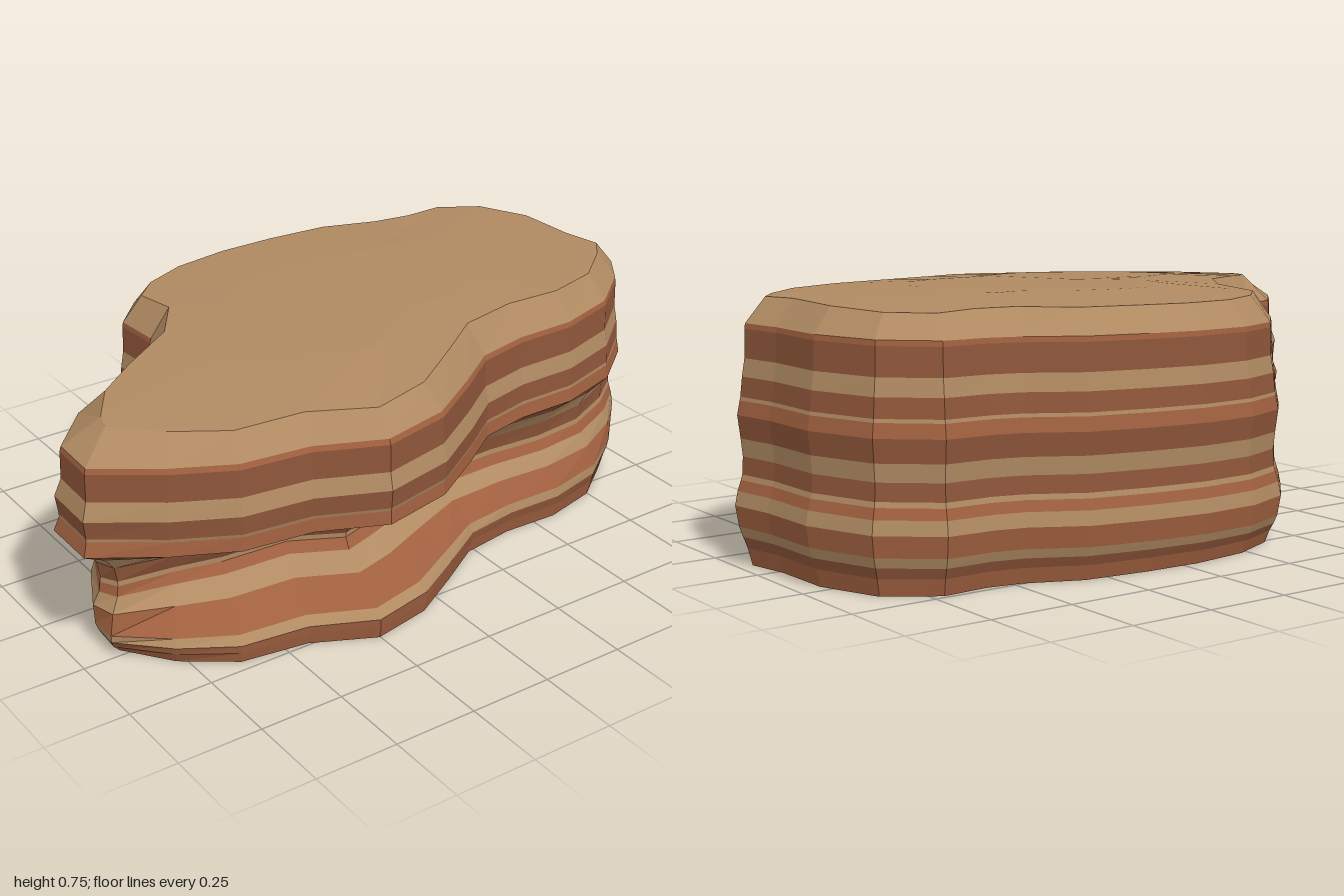
import * as THREE from 'three';

const mat = (name, color) => {
  const m = new THREE.MeshStandardMaterial({ color, flatShading: true });
  m.name = name;
  return m;
};

// Plan outline, counter-clockwise seen from above: x, z, strength of the undercut
const OUTLINE = [
  [-1, 0.13, 0.38], [-1, 0.30, 0.55], [-0.82, 0.43, 0.8], [-0.65, 0.52, 0.95], [-0.45, 0.55, 1],
  [-0.26, 0.64, 1], [-0.05, 0.60, 1], [0.12, 0.50, 0.85], [0.25, 0.415, 0.65], [0.40, 0.39, 0.5],
  [0.58, 0.395, 0.45], [0.77, 0.345, 0.33], [0.92, 0.23, 0.15], [1, 0.12, 0], [0.975, -0.02, 0],
  [0.97, -0.22, 0], [0.89, -0.42, 0], [0.73, -0.53, 0], [0.58, -0.525, 0], [0.49, -0.54, 0],
  [0.33, -0.61, 0], [0.13, -0.635, 0], [-0.05, -0.643, 0], [-0.24, -0.62, 0], [-0.40, -0.55, 0],
  [-0.51, -0.43, 0], [-0.50, -0.28, 0], [-0.56, -0.20, 0], [-0.72, -0.10, 0.05], [-0.87, -0.02, 0.18],
];

// Outward direction at every outline point
const N = OUTLINE.length;
const OUTWARD = OUTLINE.map((_, i) => {
  const a = OUTLINE[(i + N - 1) % N], b = OUTLINE[(i + 1) % N];
  return new THREE.Vector2(a[1] - b[1], b[0] - a[0]).normalize();
});

// Strata: height, inset all round, extra inset in the undercut,
// extra inset at the narrow right end, colour above this level
const LEVELS = [
  [0.00, 0.045, 0.015, 0.090, 'rust'],
  [0.04, 0.032, 0.020, 0.070, 'brown'],
  [0.065, 0.020, 0.035, 0.065, 'tan'],
  [0.09, 0.010, 0.07, 0.055, 'rust'],
  [0.15, 0.000, 0.18, 0.020, 'tan'],
  [0.19, 0.008, 0.235, 0.010, 'rust'],
  [0.22, 0.018, 0.245, 0.000, 'tan'],
  [0.235, 0.022, 0.24, 0.000, 'brown'],
  [0.285, 0.025, 0.21, 0.000, 'tan'],
  [0.335, 0.020, 0.14, 0.000, 'brown'],
  [0.40, 0.012, -0.01, -0.010, 'rust'],
  [0.44, 0.020, -0.015, 0.000, 'tan'],
  [0.45, 0.022, -0.02, 0.000, 'brown'],
  [0.505, 0.028, -0.03, -0.010, 'tan'],
  [0.555, 0.036, -0.025, 0.000, 'brown'],
  [0.635, 0.038, -0.025, 0.000, 'rust'],
  [0.65, 0.040, -0.02, 0.000, 'tan'],
  [0.75, 0.098, -0.02, 0.050, 'tan'],
];

// Beds dip gently and the top is slightly domed
function heightAt(y, x, z) {
  const dip = 0.022 * x * Math.min(1, y / 0.08);
  const dome = y > 0.7 ? 0.033 * x * x + 0.1 * z * z : 0;
  return y + dip - dome;
}

// One cross-section loop
function ring([y, inset, cut, taper]) {
  return OUTLINE.map(([x, z, w], i) => {
    const end = THREE.MathUtils.clamp((-x - 0.75) / 0.25, 0, 1);
    const d = inset + cut * w + taper * end;
    const px = x - OUTWARD[i].x * d, pz = z - OUTWARD[i].y * d;
    return new THREE.Vector3(px, heightAt(y, px, pz), pz);
  });
}

function mesh(name, points, material) {
  const g = new THREE.BufferGeometry().setFromPoints(points);
  g.computeVertexNormals();
  const m = new THREE.Mesh(g, material);
  m.name = name;
  return m;
}

// Strip of quads joining a loop to the next one up or inward
function band(lo, hi) {
  return lo.flatMap((a, i) => {
    const j = (i + 1) % N;
    return [a, lo[j], hi[j], a, hi[j], hi[i]];
  });
}

// Fan closing a loop towards a centre point
function fan(loop, centre) {
  return loop.flatMap((p, i) => [p, loop[(i + 1) % N], centre]);
}

export function createModel() {
  const group = new THREE.Group();
  group.name = 'layeredRock';
  const mats = {
    tan: mat('tan sandstone', 0xb08a62),
    rust: mat('rust sandstone', 0xa0603f),
    brown: mat('brown sandstone', 0x8f563a),
  };
  const rings = LEVELS.map(ring);

  // Rock bands
  for (let k = 0; k < rings.length - 1; k++) {
    group.add(mesh(`stratum${k + 1}`, band(rings[k], rings[k + 1]), mats[LEVELS[k][4]]));
  }

  // Gently domed top
  const rim = rings.at(-1);
  const crown = rim.map((p) => {
    const x = p.x * 0.55, z = p.z * 0.55;
    return new THREE.Vector3(x, heightAt(0.75, x, z), z);
  });
  const peak = new THREE.Vector3(-0.05, 0.745, -0.03);
  group.add(mesh('topSurface', [...band(rim, crown), ...fan(crown, peak)], mats.tan));

  // Flat underside
  const base = [...rings[0]].reverse();
  group.add(mesh('underside', fan(base, new THREE.Vector3(-0.05, 0, -0.03)), mats.rust));
  return group;
}
